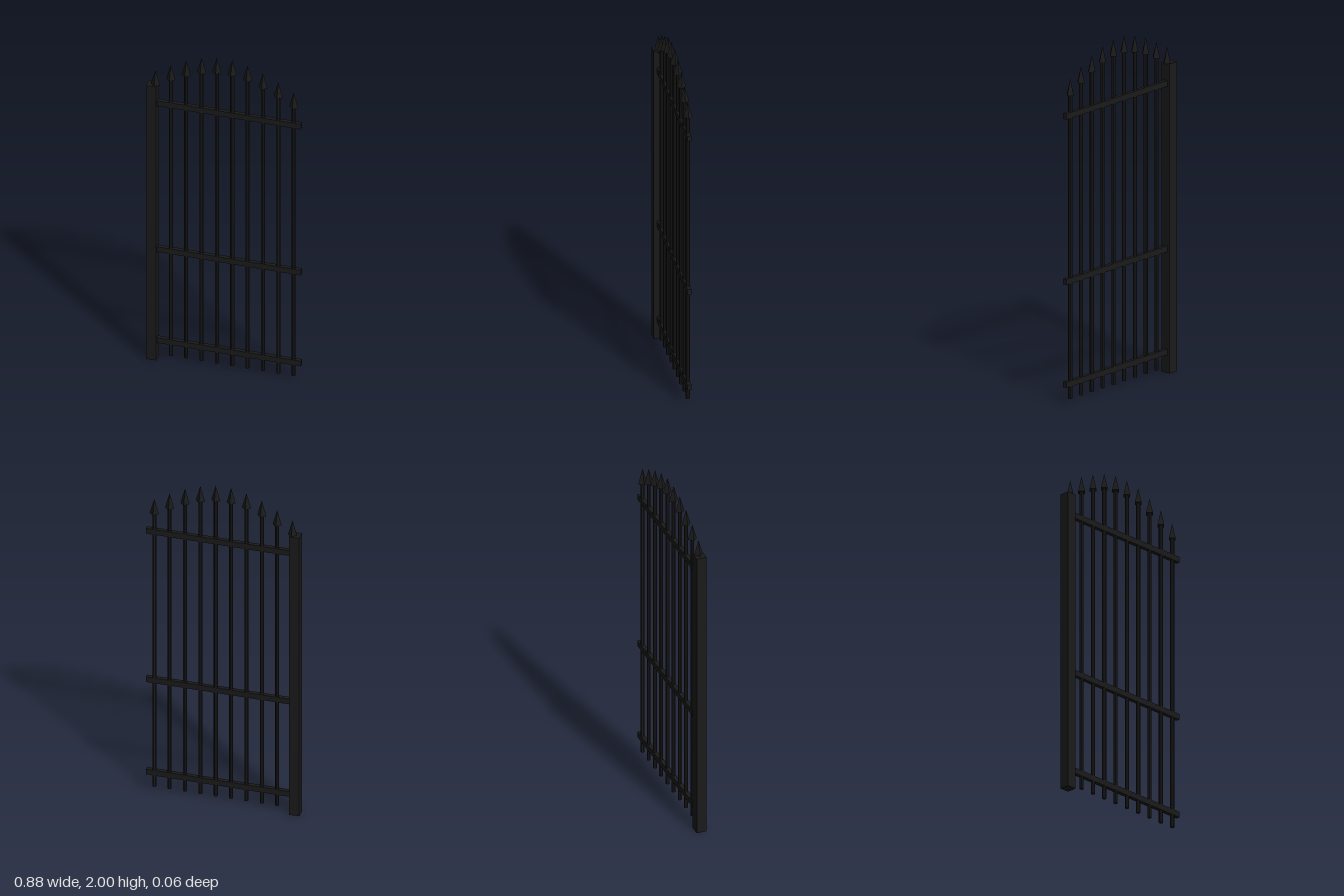
import * as THREE from 'three';

export function createModel() {
  const group = new THREE.Group();
  const iron = new THREE.MeshStandardMaterial({ color: 0x1a1a1a });
  iron.name = 'black iron';
  iron.flatShading = true;

  const add = (name, geometry, x, y) => {
    const mesh = new THREE.Mesh(geometry, iron);
    mesh.name = name;
    mesh.position.set(x, y, 0);
    group.add(mesh);
  };

  // Hinge post
  const postHeight = 1.765;
  add('post', new THREE.BoxGeometry(0.058, postHeight, 0.058), -0.41, postHeight / 2);

  // Horizontal rails, running into the post
  for (const y of [0.12, 0.707, 1.65]) {
    add('rail', new THREE.BoxGeometry(0.86, 0.033, 0.023), 0.008, y);
  }

  // Upright bars with four-sided spearheads, their tips following an arch
  const count = 10, bottom = 0.032, spearHeight = 0.093;
  const spear = new THREE.ConeGeometry(0.026, spearHeight, 4);
  for (let i = 0; i < count; i++) {
    const t = i / (count - 1);
    const x = -0.393 + 0.786 * t;
    const tip = 1.855 + 0.147 * Math.min(Math.sin(Math.PI * t), 0.9864);
    const barTop = tip - spearHeight;
    const length = barTop - bottom;
    add('bar', new THREE.CylinderGeometry(0.0115, 0.0115, length, 8), x, bottom + length / 2);
    add('spearhead', spear, x, barTop + spearHeight / 2);
  }
  return group;
}
